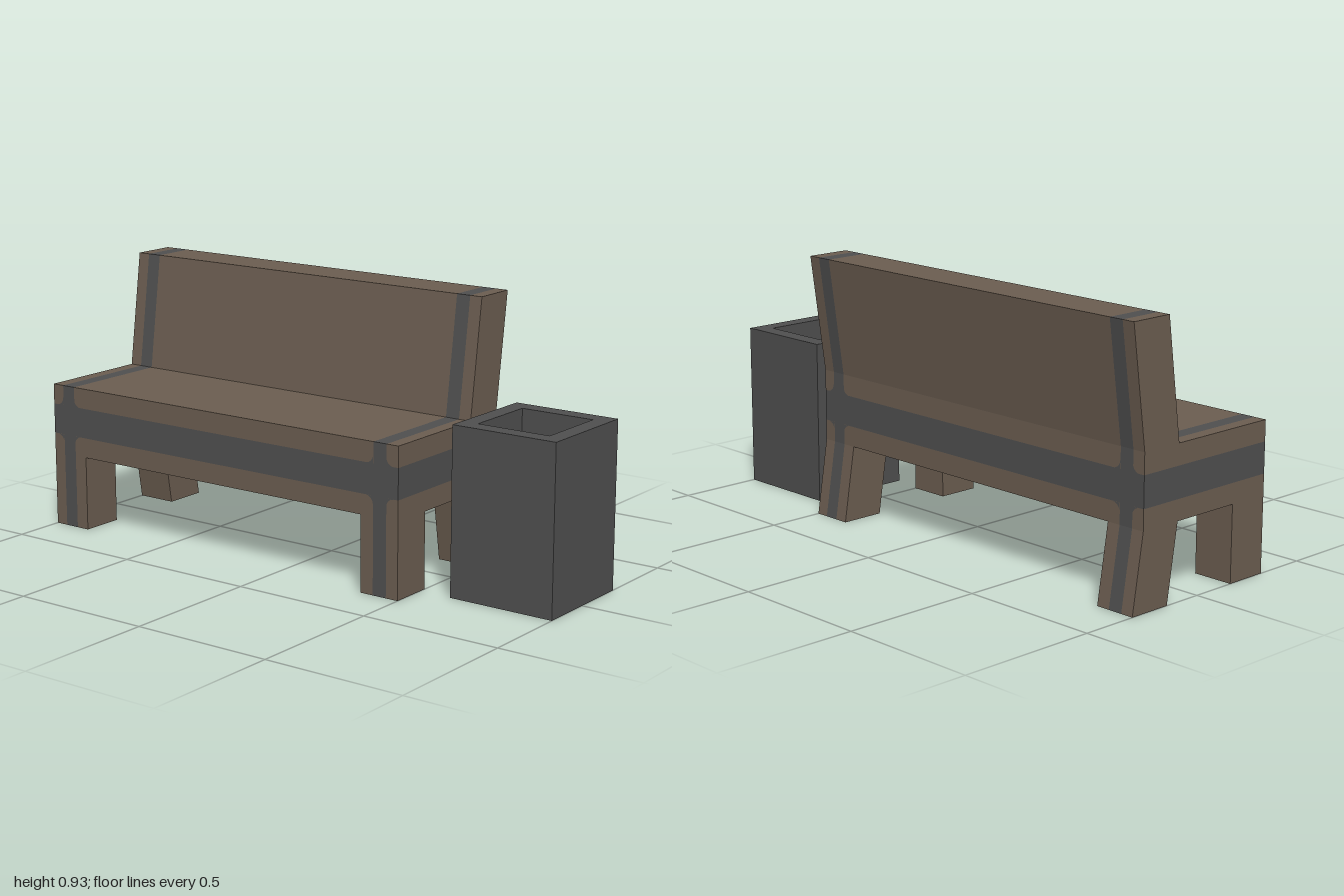
import * as THREE from 'three';

const wood = new THREE.MeshStandardMaterial({ color: 0x6b5d50, side: THREE.DoubleSide });
const grey = new THREE.MeshStandardMaterial({ color: 0x4f4f4f, side: THREE.DoubleSide });
wood.name = 'brownWood';
grey.name = 'darkGrey';

// Key sizes
const BACK = -1, FRONT = 0.5, LEG_BACK = -0.853, LEG_FRONT = 0.353;
const UNDER = 0.265, BAND_LOW = 0.336, BAND_HIGH = 0.443, SEAT = 0.515, TOP = 0.925;
const columns = [BACK, -0.954, -0.902, LEG_BACK, LEG_FRONT, 0.402, 0.454, FRONT];

// Sweeps a profile of [x, y] points along z; pick(row, column) gives the material or null
function sweep(name, path, zs, pick) {
  const group = new THREE.Group();
  group.name = name;
  for (const material of [wood, grey]) {
    const pos = [];
    for (let i = 0; i < path.length - 1; i++) {
      for (let j = 0; j < zs.length - 1; j++) {
        if (pick(i, j) !== material) continue;
        const a = [...path[i], zs[j]], b = [...path[i + 1], zs[j]];
        const c = [...path[i + 1], zs[j + 1]], d = [...path[i], zs[j + 1]];
        pos.push(...a, ...b, ...c, ...a, ...c, ...d);
      }
    }
    if (!pos.length) continue;
    const geometry = new THREE.BufferGeometry();
    geometry.setAttribute('position', new THREE.Float32BufferAttribute(pos, 3));
    geometry.computeVertexNormals();
    const mesh = new THREE.Mesh(geometry, material);
    mesh.name = name + (material === wood ? 'Wood' : 'Stripe');
    group.add(mesh);
  }
  return group;
}

// Flat panel across z, facing +z (facing = 1) or -z (facing = -1)
function panel(name, points, z, facing, material) {
  const shape = new THREE.Shape(points.map(([x, y]) => new THREE.Vector2(x * facing, y)));
  const mesh = new THREE.Mesh(new THREE.ShapeGeometry(shape), material);
  if (facing < 0) mesh.rotation.y = Math.PI;
  mesh.position.z = z;
  mesh.name = name;
  return mesh;
}

// Rounded inside corner where a vertical stripe meets the band
function fillet(x, y, z, signY, signZ) {
  const r = 0.03;
  const shape = new THREE.Shape();
  shape.moveTo(0, 0);
  shape.lineTo(r, 0);
  shape.absarc(r, r, r, -Math.PI / 2, -Math.PI, true);
  shape.closePath();
  const geometry = new THREE.ShapeGeometry(shape, 6);
  const p = geometry.attributes.position;
  for (let i = 0; i < p.count; i++) p.setXYZ(i, x, y + signY * p.getY(i), z + signZ * p.getX(i));
  geometry.computeVertexNormals();
  const mesh = new THREE.Mesh(geometry, grey);
  mesh.name = 'stripeFillet';
  return mesh;
}

function createBench() {
  const bench = new THREE.Group();
  bench.name = 'bench';

  // Outer shell: up the rear, over the backrest, along the seat, down the front
  const outline = [
    [0.3, 0], [0.257, UNDER], [0.257, BAND_LOW], [0.257, BAND_HIGH], [0.257, SEAT],
    [0.315, TOP], [0.157, TOP], [0.1, SEAT], [-0.315, SEAT],
    [-0.315, BAND_HIGH], [-0.315, BAND_LOW], [-0.315, UNDER], [-0.315, 0],
  ];
  const last = outline.length - 2;
  bench.add(sweep('shell', outline, columns, (row, col) => {
    if ((row === 0 || row === last) && col === 3) return null;
    return row === 2 || row === 9 || col === 1 || col === 5 ? grey : wood;
  }));

  // Underside between the legs
  bench.add(sweep('underside', [[-0.315, UNDER], [-0.162, UNDER], [0.1, UNDER], [0.257, UNDER]],
    [BACK, LEG_BACK, LEG_FRONT, FRONT], (row, col) => (row === 1 || col === 1 ? wood : null)));

  // Inner leg faces
  const legColumns = [BACK, LEG_BACK, LEG_FRONT, FRONT];
  const onlyLegs = (row, col) => (col === 1 ? null : wood);
  bench.add(sweep('frontLegInner', [[-0.162, 0], [-0.162, UNDER]], legColumns, onlyLegs));
  bench.add(sweep('rearLegInner', [[0.1, UNDER], [0.142, 0]], legColumns, onlyLegs));
  const frontLeg = [[-0.315, 0], [-0.162, 0], [-0.162, UNDER], [-0.315, UNDER]];
  const rearLeg = [[0.142, 0], [0.3, 0], [0.257, UNDER], [0.1, UNDER]];
  for (const [z, facing] of [[FRONT, 1], [LEG_FRONT, -1], [LEG_BACK, 1], [BACK, -1]]) {
    bench.add(panel('frontLegSide', frontLeg, z, facing, wood));
    bench.add(panel('rearLegSide', rearLeg, z, facing, wood));
  }

  // End panels with the wrapped band
  const row = (low, high) => [[-0.315, low], [0.257, low], [0.257, high], [-0.315, high]];
  for (const [z, facing] of [[FRONT, 1], [BACK, -1]]) {
    bench.add(panel('endLower', row(UNDER, BAND_LOW), z, facing, wood));
    bench.add(panel('endBand', row(BAND_LOW, BAND_HIGH), z, facing, grey));
    bench.add(panel('endUpper', row(BAND_HIGH, SEAT), z, facing, wood));
    bench.add(panel('backrestEnd', outline.slice(4, 8), z, facing, wood));
  }

  // Rounded stripe crossings, front and rear
  for (const x of [-0.3165, 0.2585]) {
    for (const [y, signY] of [[BAND_LOW, -1], [BAND_HIGH, 1]]) {
      for (const c of [1, 5]) {
        bench.add(fillet(x, y, columns[c], signY, -1), fillet(x, y, columns[c + 1], signY, 1));
      }
    }
  }
  return bench;
}

function createBin() {
  const bin = new THREE.Group();
  bin.name = 'bin';
  const size = 0.383, hole = 0.265, height = 0.577, floor = 0.1;
  const square = (Type, s) => new Type([[-1, -1], [1, -1], [1, 1], [-1, 1]]
    .map(([x, y]) => new THREE.Vector2(x * s / 2, y * s / 2)));

  // Walls with a square opening
  const shape = square(THREE.Shape, size);
  shape.holes.push(square(THREE.Path, hole));
  const wallGeometry = new THREE.ExtrudeGeometry(shape, { depth: height, bevelEnabled: false });
  wallGeometry.rotateX(-Math.PI / 2);
  const walls = new THREE.Mesh(wallGeometry, grey);
  walls.name = 'binWalls';

  // Floor inside the walls
  const base = new THREE.Mesh(new THREE.BoxGeometry(hole, floor, hole), grey);
  base.position.y = floor / 2;
  base.name = 'binFloor';

  bin.add(walls, base);
  bin.position.set(0.006, 0, 0.8085);
  return bin;
}

export function createModel() {
  const model = new THREE.Group();
  model.name = 'benchWithBin';
  model.add(createBench(), createBin());
  return model;
}
